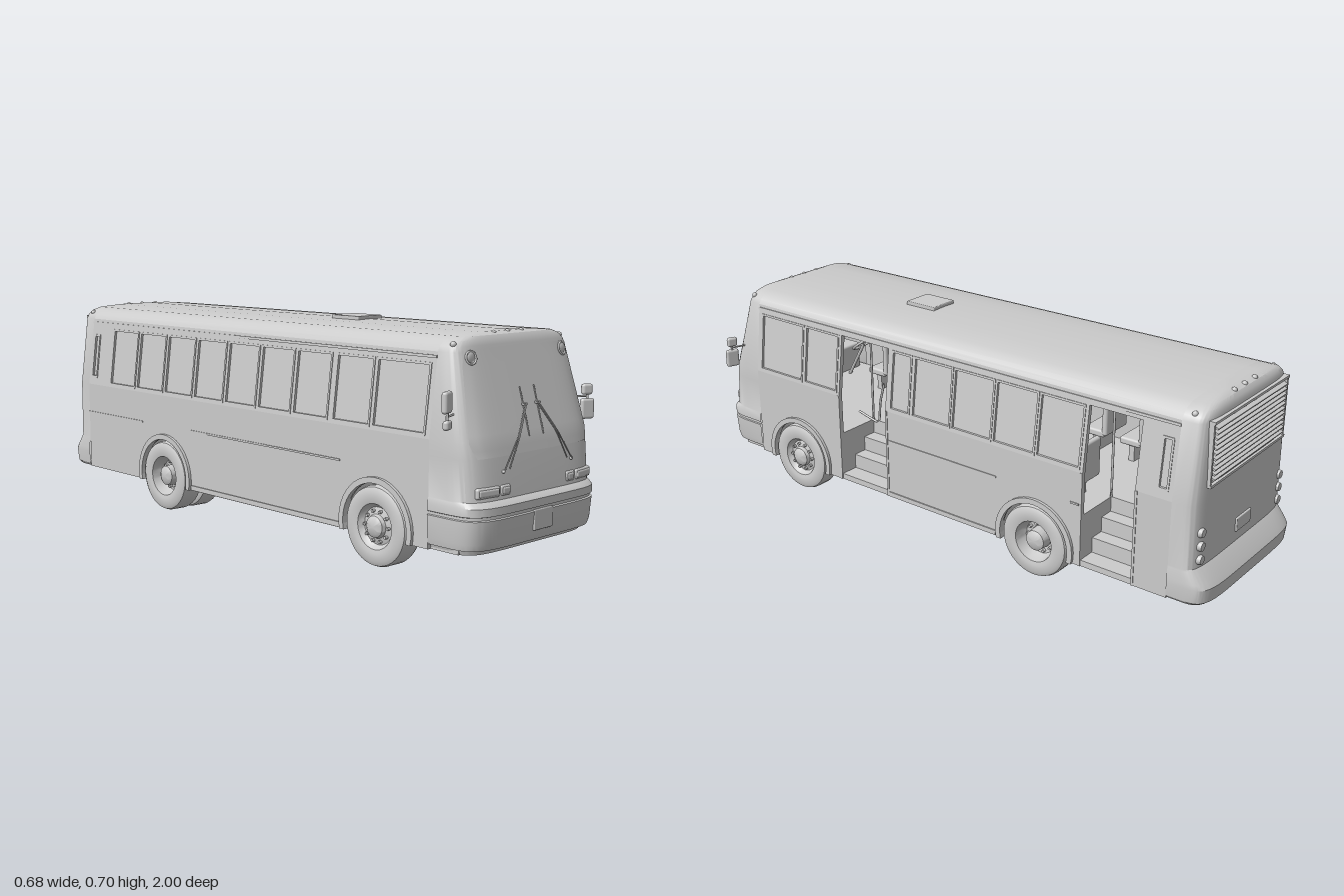
import * as THREE from 'three';
import { toCreasedNormals } from 'three/addons/utils/BufferGeometryUtils.js';
import { RoundedBoxGeometry } from 'three/addons/geometries/RoundedBoxGeometry.js';

const mat = new THREE.MeshStandardMaterial({ color: 0xcccccc, side: THREE.DoubleSide });
const FRONT = 0.82, REAR = -0.87, HALF = 0.285, BELT = 0.4, EAVE = 0.64, SILL = 0.09;
const lean = (y) => Math.max(0, y - BELT) * 0.125;

// Rows of the end caps: [y, z at the centre, half width]
const roofRows = [[0.64, 0.255], [0.655, 0.247], [0.67, 0.23], [0.68, 0.2], [0.687, 0.11], [0.69, 0.0001]];
const frontZs = [0.892, 0.888, 0.883, 0.875, 0.855, FRONT];
const rearZs = [-0.95, -0.949, -0.944, -0.935, -0.915, REAR];
const frontRows = [
  [0.09, FRONT, 0.0001], [0.09, 0.965, 0.27], [0.105, 0.968, 0.275], [0.106, 0.988, 0.284], [0.125, 0.994, 0.288],
  [0.19, 1, 0.29], [0.192, 0.994, 0.286], [0.2, 0.994, 0.286], [0.202, 1, 0.29], [0.225, 1, 0.29], [0.237, 0.988, 0.286],
  [0.24, 0.982, 0.285], [0.355, 0.97, 0.285], [0.4, 0.962, 0.285],
  ...roofRows.map(([y, w], i) => [y, frontZs[i], w])];
const rearRows = [
  [0.09, REAR, 0.0001], [0.09, -0.985, 0.278], [0.1, -0.996, 0.286], [0.145, -1, 0.29], [0.16, -0.99, 0.289],
  [0.195, -0.96, 0.286], [0.2, -0.955, 0.285], [0.4, -0.953, 0.285],
  ...roofRows.map(([y, w], i) => [y, rearZs[i], w])];

function mesh(parent, name, geo, x = 0, y = 0, z = 0) {
  const m = new THREE.Mesh(geo, mat);
  m.name = name;
  m.position.set(x, y, z);
  parent.add(m);
  return m;
}
const span = (p, name, x0, x1, y0, y1, z0, z1) =>
  mesh(p, name, new THREE.BoxGeometry(x1 - x0, y1 - y0, z1 - z0), (x0 + x1) / 2, (y0 + y1) / 2, (z0 + z1) / 2);
const rounded = (p, name, w, h, d, x, y, z, r = 0.008) => mesh(p, name, new RoundedBoxGeometry(w, h, d, 3, r), x, y, z);
function rod(p, name, pts, r) {
  const path = new THREE.CatmullRomCurve3(pts.map((a) => new THREE.Vector3(...a)), false, 'catmullrom', 0.1);
  return mesh(p, name, new THREE.TubeGeometry(path, 12, r, 8));
}

// Skin through rows of points
function loft(rows, crease = 0.5) {
  const n = rows[0].length, index = [];
  for (let i = 0; i < rows.length - 1; i++) for (let j = 0; j < n - 1; j++) {
    const a = i * n + j;
    index.push(a, a + 1, a + n, a + 1, a + n + 1, a + n);
  }
  const g = new THREE.BufferGeometry();
  g.setAttribute('position', new THREE.Float32BufferAttribute(rows.flat(2), 3));
  g.setIndex(index);
  return toCreasedNormals(g, crease);
}
function capGeometry(rows, zs) {
  return loft(rows.map(([y, z, w]) => Array.from({ length: 41 }, (_, i) => {
    const t = Math.PI * i / 40, c = Math.cos(t);
    return [-w * Math.sign(c) * Math.abs(c) ** (1 / 3), y, zs + (z - zs) * Math.abs(Math.sin(t)) ** (1 / 3)];
  })));
}
// Depth of a cap's surface at x, y
function capZ(rows, zs, x, y) {
  let i = 1;
  while (i < rows.length - 2 && rows[i + 1][0] < y) i++;
  const [a, b] = [rows[i], rows[i + 1]], t = (y - a[0]) / (b[0] - a[0]);
  const z = a[1] + (b[1] - a[1]) * t, w = a[2] + (b[2] - a[2]) * t;
  return zs + (z - zs) * Math.max(0, 1 - Math.abs(x / w) ** 6) ** (1 / 6);
}
const fz = (x, y) => capZ(frontRows, FRONT, x, y);
const rz = (x, y) => capZ(rearRows, REAR, x, y);

// Flat side panel from [z, y] outlines, leaning in above the belt line
function sidePanel(p, name, side, pts, holes, depth, inset = 0) {
  const vec = (a) => a.map(([z, y]) => new THREE.Vector2(-side * z, y));
  const shape = new THREE.Shape(vec(pts));
  shape.holes = holes.map((h) => new THREE.Path(vec(h)));
  const g = new THREE.ExtrudeGeometry(shape, { depth, bevelEnabled: false });
  g.rotateY(side * Math.PI / 2);
  const pos = g.attributes.position;
  for (let i = 0; i < pos.count; i++)
    pos.setX(i, pos.getX(i) + side * (HALF - depth - inset - lean(pos.getY(i))));
  g.computeVertexNormals();
  return mesh(p, name, g);
}
const rect = ([z0, z1, y0 = 0.412, y1 = 0.605], m = 0) =>
  [[z0 - m, y0 - m], [z1 + m, y0 - m], [z1 + m, y1 + m], [z0 - m, y1 + m]];
const arch = (c, r) => Array.from({ length: 25 }, (_, i) => {
  const a = Math.PI + 0.233 - (Math.PI + 0.466) * i / 24;
  return [c + r * Math.cos(a), Math.max(SILL, 0.12 + r * Math.sin(a))];
});

const AXLES = [-0.4, 0.62], DOORS = [[-0.75, -0.57], [0.21, 0.42]];

function buildSide(p, side) {
  const doors = side > 0 ? DOORS : [];
  // Lower panels between doors, cut by the wheel arches
  const edges = [REAR, ...doors.flat(), FRONT];
  for (let i = 0; i < edges.length; i += 2) {
    const [a, b] = [edges[i], edges[i + 1]];
    const cuts = AXLES.filter((c) => c > a && c < b).flatMap((c) => arch(c, 0.13));
    sidePanel(p, 'lowerSidePanel', side, [[a, SILL], ...cuts, [b, SILL], [b, BELT], [a, BELT]], [], 0.014);
    if (i === 0 && side > 0) continue;
  }
  // Upper panel with window holes and door notches
  const windows = [[0.6, 0.8], [0.435, 0.585]];
  if (side > 0) windows.push([0.11, 0.19], ...[0, 1, 2, 3].map((i) => [-0.06 - i * 0.165, 0.095 - i * 0.165]));
  else for (let i = 0; i < 7; i++) windows.push([-0.73 + i * 0.165, -0.58 + i * 0.165]);
  const slot = [-0.852, -0.822, 0.43, 0.58];
  const notches = doors.flatMap(([a, b]) => [[a, BELT], [a, 0.61], [b, 0.61], [b, BELT]]);
  sidePanel(p, 'upperSidePanel', side, [[REAR, BELT], ...notches, [FRONT, BELT], [FRONT, EAVE], [REAR, EAVE]],
    [...windows, slot].map((w) => rect(w)), 0.014);
  [...windows, slot].forEach((w) => {
    sidePanel(p, 'windowGlass', side, rect(w, 0.003), [], 0.004, 0.008);
    sidePanel(p, 'windowFrame', side, rect(w, 0.004), [rect(w, -0.003)], 0.008, -0.002);
  });
  // Wheel arch flares, trim rails and lamps
  AXLES.forEach((c) => sidePanel(p, 'archFlare', side, [...arch(c, 0.146), ...arch(c, 0.128).reverse()], [], 0.016, -0.01));
  [[-0.25, side > 0 ? 0.2 : 0.47], [side > 0 ? -0.56 : REAR, -0.53]].forEach(([a, b]) =>
    sidePanel(p, 'rubRail', side, rect([a, b, 0.292, 0.298]), [], 0.006, -0.003));
  sidePanel(p, 'skirtRail', side, rect([-0.25, side > 0 ? 0.2 : 0.47, 0.092, 0.108]), [], 0.006, -0.004);
  sidePanel(p, 'dripRail', side, rect([REAR, FRONT, 0.622, 0.63]), [], 0.008, -0.003);
  doors.forEach(([a, b]) => sidePanel(p, 'doorFrame', side,
    [[a - 0.008, SILL], [a - 0.008, BELT], [a, BELT], [a, SILL]], [], 0.014, -0.002)
    && sidePanel(p, 'doorFrame', side, rect([b, b + 0.008, SILL, BELT]), [], 0.014, -0.002));
}

// Wheel facing +x; dished for the rear pair
function wheel(p, name, x, z, side, dished) {
  const g = new THREE.Group();
  g.name = name;
  const hub = dished ? [[0.062, 0.01], [0.055, -0.005], [0.036, -0.008], [0.033, 0.028], [0.02, 0.036], [0, 0.036]]
    : [[0.062, 0.026], [0.056, 0.02], [0.036, 0.026], [0.032, 0.038], [0.022, 0.045], [0, 0.046]];
  const tyre = [[0.03, -0.03], [0.066, -0.036], [0.08, -0.04], [0.104, -0.04], [0.116, -0.034], [0.12, -0.024],
    [0.12, 0.024], [0.116, 0.034], [0.104, 0.04], [0.08, 0.04], [0.068, 0.037]];
  const lathe = (pts) => toCreasedNormals(new THREE.LatheGeometry(pts.map((a) => new THREE.Vector2(...a)), 40).rotateZ(-Math.PI / 2), 0.6);
  mesh(g, 'tyre', lathe(tyre));
  mesh(g, 'hub', lathe([[0.068, 0.037], ...hub]));
  for (let i = 0; i < 10; i++) {
    const a = i * Math.PI / 5;
    mesh(g, 'wheelNut', new THREE.CylinderGeometry(0.005, 0.005, 0.014, 6).rotateZ(Math.PI / 2),
      dished ? -0.002 : 0.026, 0.046 * Math.sin(a), 0.046 * Math.cos(a));
  }
  g.position.set(side * x, 0.12, z);
  if (side < 0) g.rotation.y = Math.PI;
  p.add(g);
}

export function createModel() {
  const bus = new THREE.Group();
  bus.name = 'bus';
  // Body shell
  mesh(bus, 'frontCap', capGeometry(frontRows, FRONT));
  mesh(bus, 'rearCap', capGeometry(rearRows, REAR));
  const section = [...roofRows.map(([y, w]) => [w, y]), ...roofRows.slice(0, -1).reverse().map(([y, w]) => [-w, y])];
  mesh(bus, 'roof', loft([REAR, FRONT].map((z) => section.map(([x, y]) => [x, y, z]))));
  rounded(bus, 'roofHatch', 0.106, 0.016, 0.12, 0, 0.692, 0.25, 0.003);
  [-1, 1].forEach((s) => buildSide(bus, s));

  // Floor blocks leaving full-width wheel bays and stairwells
  const floorTop = 0.26;
  [[-0.92, -0.53], [-0.27, 0.49], [0.75, 0.92]].forEach(([a, b]) => span(bus, 'floorBlock', -0.272, 0.12, SILL, floorTop, a, b));
  [[-0.92, -0.75], [-0.57, -0.53], [-0.27, 0.21], [0.42, 0.49], [0.75, 0.92]].forEach(([a, b]) =>
    span(bus, 'floorBlock', 0.12, 0.272, SILL, floorTop, a, b));
  AXLES.forEach((c) => span(bus, 'bayRoof', -0.272, 0.272, 0.25, floorTop, c - 0.13, c + 0.13));
  DOORS.forEach(([a, b]) => [[0.22, 0.283, 0.11], [0.17, 0.22, 0.16], [0.12, 0.17, 0.21]].forEach(([x0, x1, y]) =>
    span(bus, 'doorStep', x0, x1, SILL, y, a, b)));

  // Interior seats, handrails and driver position
  const seat = (x, z) => {
    rounded(bus, 'seatCushion', 0.13, 0.025, 0.08, x, 0.33, z);
    rounded(bus, 'seatBack', 0.13, 0.13, 0.02, x, 0.39, z - 0.04);
    span(bus, 'seatLeg', x - 0.05, x + 0.05, floorTop, 0.32, z - 0.01, z + 0.01);
  };
  for (let i = 0; i < 8; i++) {
    const z = -0.76 + i * 0.14;
    seat(-0.19, z);
    if (i > 1 && i < 6) seat(0.19, z);
  }
  seat(-0.16, 0.6);
  mesh(bus, 'steeringWheel', new THREE.TorusGeometry(0.045, 0.005, 8, 24).rotateX(-0.9), -0.16, 0.4, 0.72);
  rod(bus, 'steeringColumn', [[-0.16, 0.4, 0.72], [-0.16, 0.26, 0.8]], 0.006);
  rounded(bus, 'dashboard', 0.48, 0.1, 0.1, 0, 0.31, 0.87);
  rod(bus, 'doorHandrail', [[0.2, 0.45, 0.29], [0.2, 0.38, 0.31], [0.2, 0.3, 0.32], [0.2, 0.32, 0.41]], 0.004);
  DOORS.flat().forEach((z) => rod(bus, 'grabPole', [[0.12, floorTop, z], [0.12, 0.68, z]], 0.004));

  // Windscreen laid just proud of the front cap
  mesh(bus, 'windscreen', loft(Array.from({ length: 15 }, (_, i) => {
    const y = 0.357 + 0.29 * i / 14, d = Math.min(i, 14 - i), w = 0.263 - lean(y) - [0.018, 0.006][d] * (d < 2) || 0;
    const half = d < 2 ? w : 0.263 - lean(y);
    return Array.from({ length: 25 }, (_, j) => {
      const x = half * (j / 12 - 1);
      return [x, y, fz(x, y) + 0.002];
    });
  })));

  [-1, 1].forEach((s) => {
    // Headlights
    [[0.215, 0.086], [0.148, 0.042]].forEach(([x, w]) => {
      const z = fz(x, 0.264), turn = s * (x > 0.2 ? 0.13 : 0.02);
      rounded(bus, 'headlightBezel', w, 0.031, 0.016, s * x, 0.264, z - 0.004, 0.007).rotation.y = turn;
      rounded(bus, 'headlightLens', w - 0.01, 0.021, 0.016, s * x, 0.264, z - 0.001, 0.006).rotation.y = turn;
    });
    // Round upper lamps
    const lampZ = fz(0.205, 0.625);
    mesh(bus, 'upperLampRing', new THREE.TorusGeometry(0.018, 0.003, 8, 28), s * 0.205, 0.625, lampZ + 0.003).rotation.set(-0.25, s * 0.15, 0);
    mesh(bus, 'upperLamp', new THREE.SphereGeometry(0.016, 20, 10).scale(1, 1, 0.3), s * 0.205, 0.625, lampZ + 0.002);
    // Wipers
    const on = (x, y, o) => [s * x, y, fz(x, y) + o];
    [0, 0.006].forEach((d) => rod(bus, 'wiperArm', [on(0.155 - d * 4, 0.315 + d, 0.006), on(0.09 - d, 0.402, 0.012), on(0.03 - d, 0.488, 0.012)], 0.0018));
    rod(bus, 'wiperBlade', [on(0.032, 0.4, 0.006), on(0.032, 0.465, 0.006), on(0.032, 0.535, 0.006)], 0.002);
    rounded(bus, 'wiperJoint', 0.016, 0.007, 0.012, s * 0.03, 0.487, fz(0.03, 0.487) + 0.009, 0.002);
    mesh(bus, 'wiperPivot', new THREE.SphereGeometry(0.005, 12, 8), ...on(0.155, 0.315, 0.003));
    // Mirrors: tall head above on one side, below on the other
    const heads = s < 0 ? [[0.32, 0.515, 0.046, 0.06], [0.317, 0.453, 0.036, 0.027]] : [[0.318, 0.437, 0.046, 0.062], [0.315, 0.496, 0.036, 0.033]];
    heads.forEach(([x, y, w, h]) => { rounded(bus, 'mirrorHead', w, h, 0.018, s * x, y, 0.912).rotation.y = -s * 0.35; });
    rod(bus, 'mirrorArm', [[s * 0.262, 0.476, 0.89], [s * 0.322, 0.475, 0.912]], 0.003);
    rod(bus, 'mirrorPost', [[s * 0.318, 0.45, 0.912], [s * 0.318, 0.5, 0.912]], 0.004);
    // Corner marker lamps and rear lamp stacks
    [0.86, -0.9].forEach((z) => mesh(bus, 'cornerMarker', new THREE.SphereGeometry(0.009, 12, 8), s * 0.238, 0.661, z));
    [0.225, 0.268, 0.311].forEach((y) =>
      mesh(bus, 'rearLamp', new THREE.CylinderGeometry(0.013, 0.016, 0.014, 24).rotateX(-Math.PI / 2), s * 0.243, y, rz(0.243, y) - 0.002));
    // Wheels
    wheel(bus, 'frontWheel', 0.255, 0.62, s, false);
    wheel(bus, 'rearOuterWheel', 0.255, -0.4, s, true);
    wheel(bus, 'rearInnerWheel', 0.165, -0.4, s, true);
  });
  AXLES.forEach((z) => mesh(bus, 'axle', new THREE.CylinderGeometry(0.02, 0.02, 0.46, 16).rotateZ(Math.PI / 2), 0, 0.12, z));
  mesh(bus, 'differential', new THREE.SphereGeometry(0.05, 20, 14), 0, 0.125, -0.4);

  // Roof marker lamps, plates and rear grille
  [-0.062, 0, 0.062].forEach((x) => [0.855, -0.925].forEach((z) =>
    mesh(bus, 'roofMarker', new THREE.SphereGeometry(0.009, 12, 8), x, 0.682, z)));
  rounded(bus, 'frontPlate', 0.085, 0.06, 0.008, 0, 0.165, 0.997, 0.003);
  rounded(bus, 'rearPlate', 0.09, 0.045, 0.01, 0, 0.255, -0.955, 0.003);
  for (let i = 0; i < 11; i++) {
    const y = 0.47 + i * 0.0155;
    span(bus, 'grilleSlat', -0.215, 0.215, y - 0.003, y + 0.003, -0.962, -0.944).rotation.x = -0.4;
  }
  [0.45, 0.643].forEach((y) => span(bus, 'grilleFrame', -0.23, 0.23, y - 0.004, y + 0.004, -0.96, -0.94));
  [-1, 1].forEach((s) => span(bus, 'grilleFrame', s * 0.226 - 0.004, s * 0.226 + 0.004, 0.45, 0.643, -0.957, -0.93));
  return bus;
}
